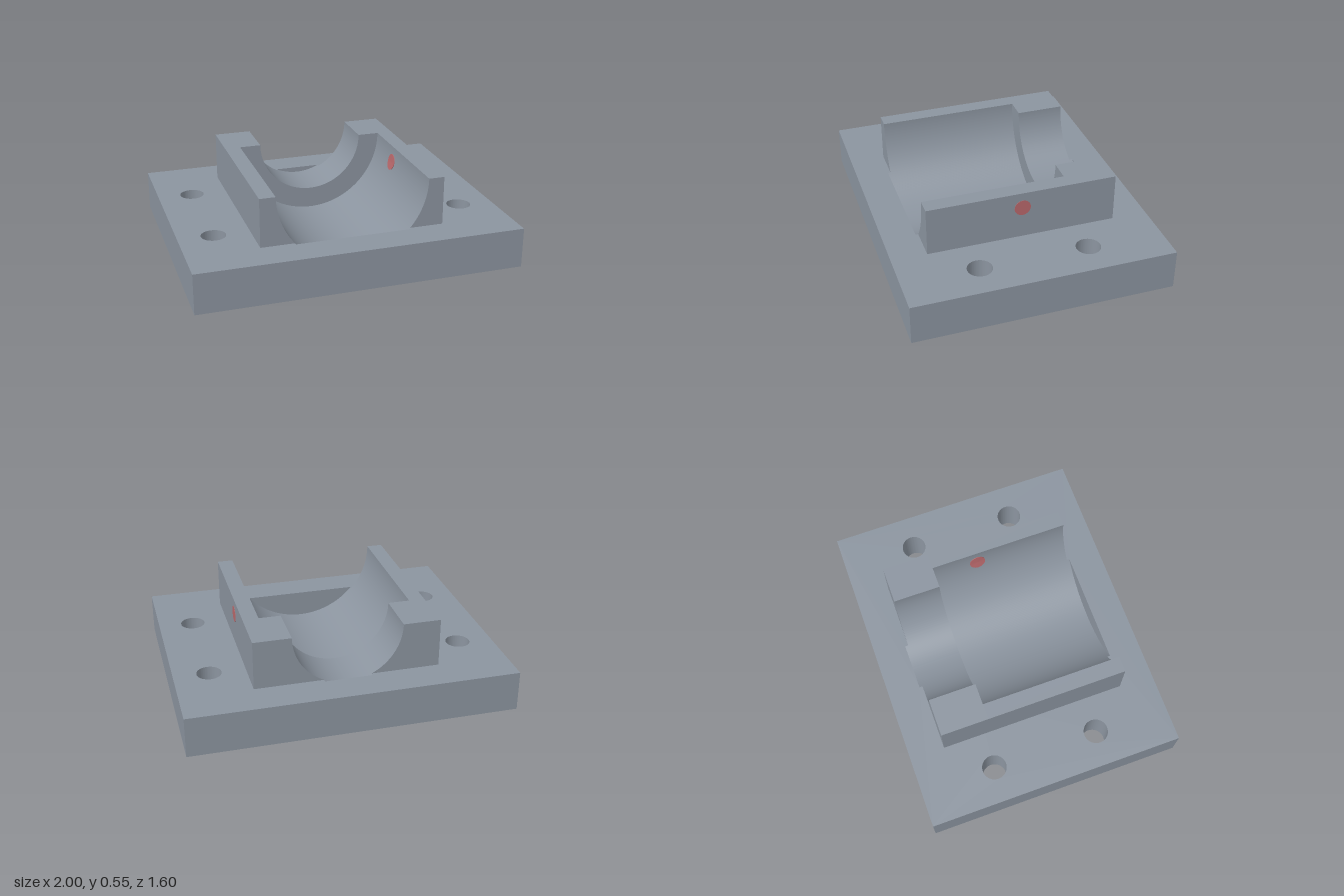
import * as THREE from 'three';
import { toCreasedNormals } from 'three/addons/utils/BufferGeometryUtils.js';

const BASE = 0.25;   // plate thickness
const TOP = 0.552;   // top of the saddle and axis height of the bore
const HALF = 0.565;  // half width of the saddle
const STEP = -0.29;  // z where the bore narrows
const BORES = [
  { name: 'wide', r: 0.468, saddle: [STEP, 0.583], trough: [STEP, 0.6] },
  { name: 'narrow', r: 0.335, saddle: [-0.583, STEP], trough: [-0.603, STEP] },
];

const steel = new THREE.MeshStandardMaterial({ color: 0x8b949f });
steel.name = 'steel grey';
const red = new THREE.MeshStandardMaterial({ color: 0xb8686b });
red.name = 'muted red';

function add(group, name, geometry, material = steel) {
  const mesh = new THREE.Mesh(geometry, material);
  mesh.name = name;
  group.add(mesh);
}

function extrude(shape, depth) {
  const g = new THREE.ExtrudeGeometry(shape, { depth, bevelEnabled: false, curveSegments: 40 });
  return toCreasedNormals(g, 0.4);
}

// Extrudes a front-view outline from z0 to z1
function alongZ(points, [z0, z1]) {
  return extrude(new THREE.Shape(points), z1 - z0).translate(0, 0, z0);
}

function arc(r, a0, a1) {
  return new THREE.Path().absarc(0, TOP, r, a0, a1, false).getPoints(40);
}

export function createModel() {
  const model = new THREE.Group();
  model.name = 'bearingSaddle';
  const v = (x, y) => new THREE.Vector2(x, y);
  const dip = (r) => Math.asin((TOP - BASE) / r);
  const width = (r) => r * Math.cos(dip(r));

  // Base plate with bolt holes and a stepped opening for the bore
  const plate = new THREE.Shape([v(-1, -0.8), v(1, -0.8), v(1, 0.8), v(-1, 0.8)]);
  for (const x of [-0.785, 0.785]) {
    for (const y of [-0.333, 0.333]) {
      plate.holes.push(new THREE.Path().absarc(x, y, 0.075, 0, Math.PI * 2, true));
    }
  }
  const [a, b] = BORES.map((bore) => width(bore.r));
  const zFront = -BORES[0].trough[1], zBack = -BORES[1].trough[0];
  plate.holes.push(new THREE.Path([
    v(-a, zFront), v(-a, -STEP), v(-b, -STEP), v(-b, zBack),
    v(b, zBack), v(b, -STEP), v(a, -STEP), v(a, zFront),
  ]));
  add(model, 'basePlate', extrude(plate, BASE).rotateX(-Math.PI / 2));

  for (const { name, r, saddle, trough } of BORES) {
    const w = width(r), d = dip(r);
    // Bore floor sunk into the plate
    const floor = [...arc(r, Math.PI + d, 2 * Math.PI - d), v(w, 0), v(-w, 0)];
    add(model, name + 'BoreFloor', alongZ(floor, trough));
    // Saddle jaws on either side of the bore
    for (const side of [1, -1]) {
      const jaw = [...arc(r, -d, 0), v(HALF, TOP), v(HALF, BASE)].map((p) => v(p.x * side, p.y));
      add(model, name + (side > 0 ? 'JawLeft' : 'JawRight'), alongZ(jaw, saddle));
    }
  }

  // Round plug through the left jaw, its inner end following the bore
  const plug = new THREE.CylinderGeometry(0.05, 0.05, 1, 32).rotateZ(-Math.PI / 2);
  const pos = plug.attributes.position;
  for (let i = 0; i < pos.count; i++) {
    const y = pos.getY(i) + 0.452;
    const inner = Math.sqrt(BORES[0].r ** 2 - (TOP - y) ** 2) - 0.003;
    pos.setXYZ(i, pos.getX(i) > 0 ? HALF + 0.002 : inner, y, pos.getZ(i));
  }
  plug.computeVertexNormals();
  add(model, 'sidePlug', plug, red);

  return model;
}
